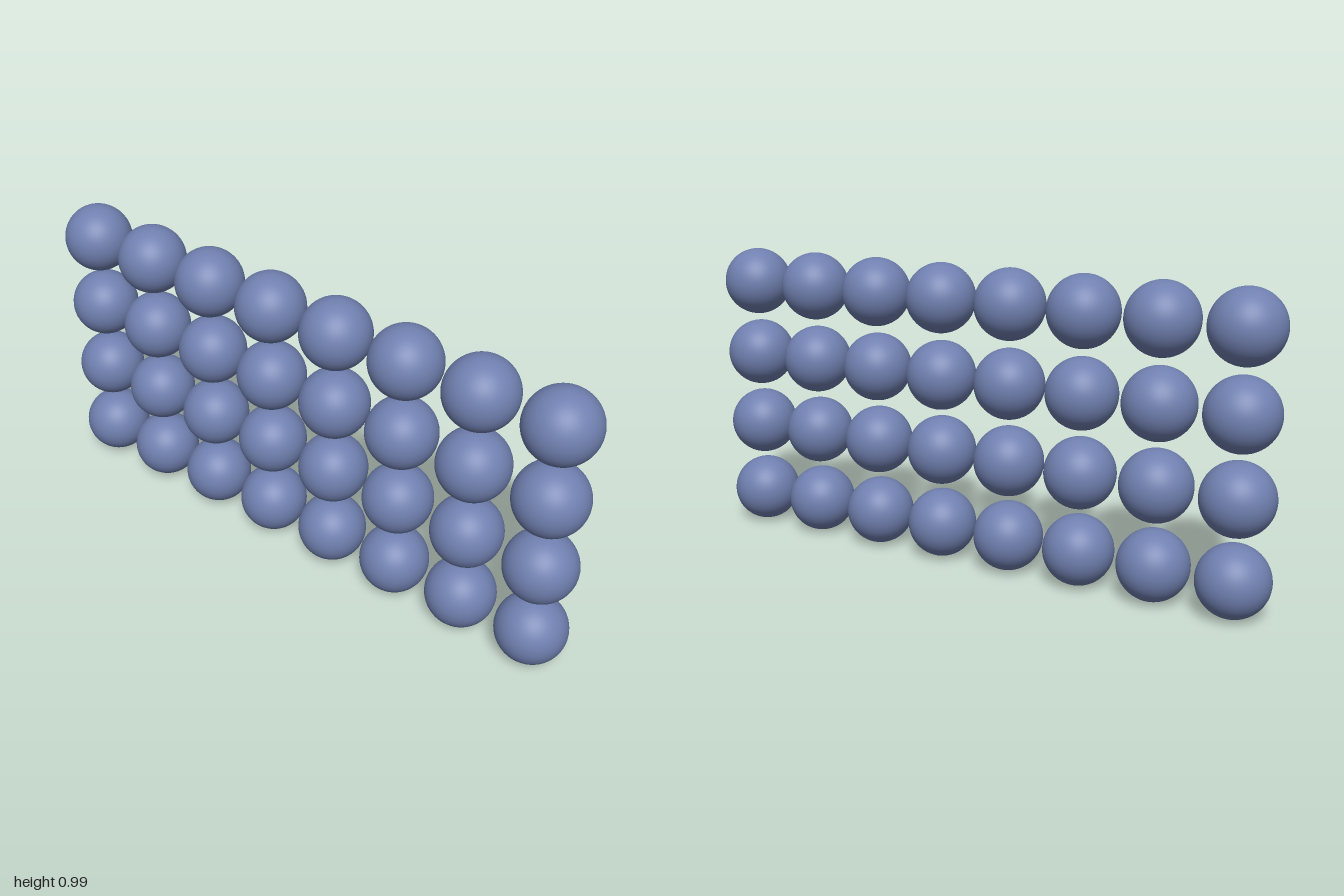
import * as THREE from 'three';

const COLUMNS = 8;
const ROWS = 4;
const SPACING = 2 / 7.9; // eight balls span exactly 2 units
const RADIUS = 0.45 * SPACING;

export function createModel() {
  const group = new THREE.Group();
  group.name = 'ballGrid';

  const material = new THREE.MeshStandardMaterial({ color: 0x7080b0 });
  const geometry = new THREE.SphereGeometry(RADIUS, 48, 32);

  // Upright wall of separate balls, one row above the other
  for (let row = 0; row < ROWS; row++) {
    const rowGroup = new THREE.Group();
    rowGroup.name = `ballRow${row + 1}`;
    rowGroup.position.y = RADIUS + row * SPACING;
    for (let col = 0; col < COLUMNS; col++) {
      const ball = new THREE.Mesh(geometry, material);
      ball.name = `ball${row + 1}_${col + 1}`;
      ball.position.x = (col - (COLUMNS - 1) / 2) * SPACING;
      rowGroup.add(ball);
    }
    group.add(rowGroup);
  }
  return group;
}
